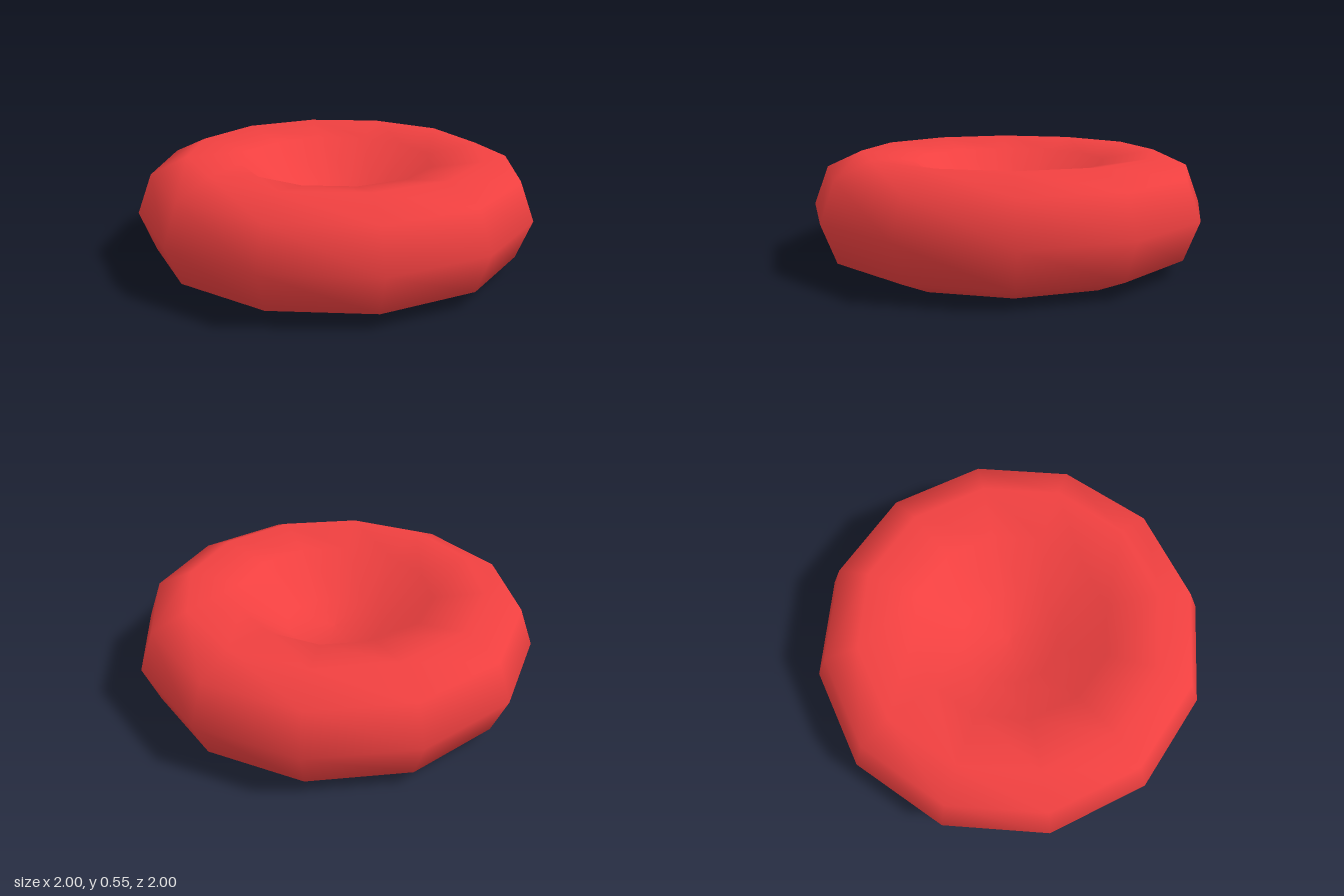
import * as THREE from 'three';

export function createModel() {
  const model = new THREE.Group();
  const midHeight = 0.275;

  // Upper half of the biconcave profile: [radius, height above the mid plane], rim to centre
  const upper = [
    [0.927, 0.194],
    [0.75, 0.275],
    [0.49, 0.225],
    [0.25, 0.035],
    [0, 0.02],
  ];
  const point = (r, h) => new THREE.Vector2(r, midHeight + h);

  // Mirror the half profile below the rim, running from bottom centre to top centre
  const profile = [
    ...upper.map(([r, h]) => point(r, -h)).reverse(),
    point(1, 0),
    ...upper.map(([r, h]) => point(r, h)),
  ];

  // Twelve-sided dimpled disc with smooth normals
  const disc = new THREE.Mesh(
    new THREE.LatheGeometry(profile, 12),
    new THREE.MeshStandardMaterial({ color: 0xf04040 })
  );
  disc.name = 'dimpledDisc';
  model.add(disc);
  return model;
}
